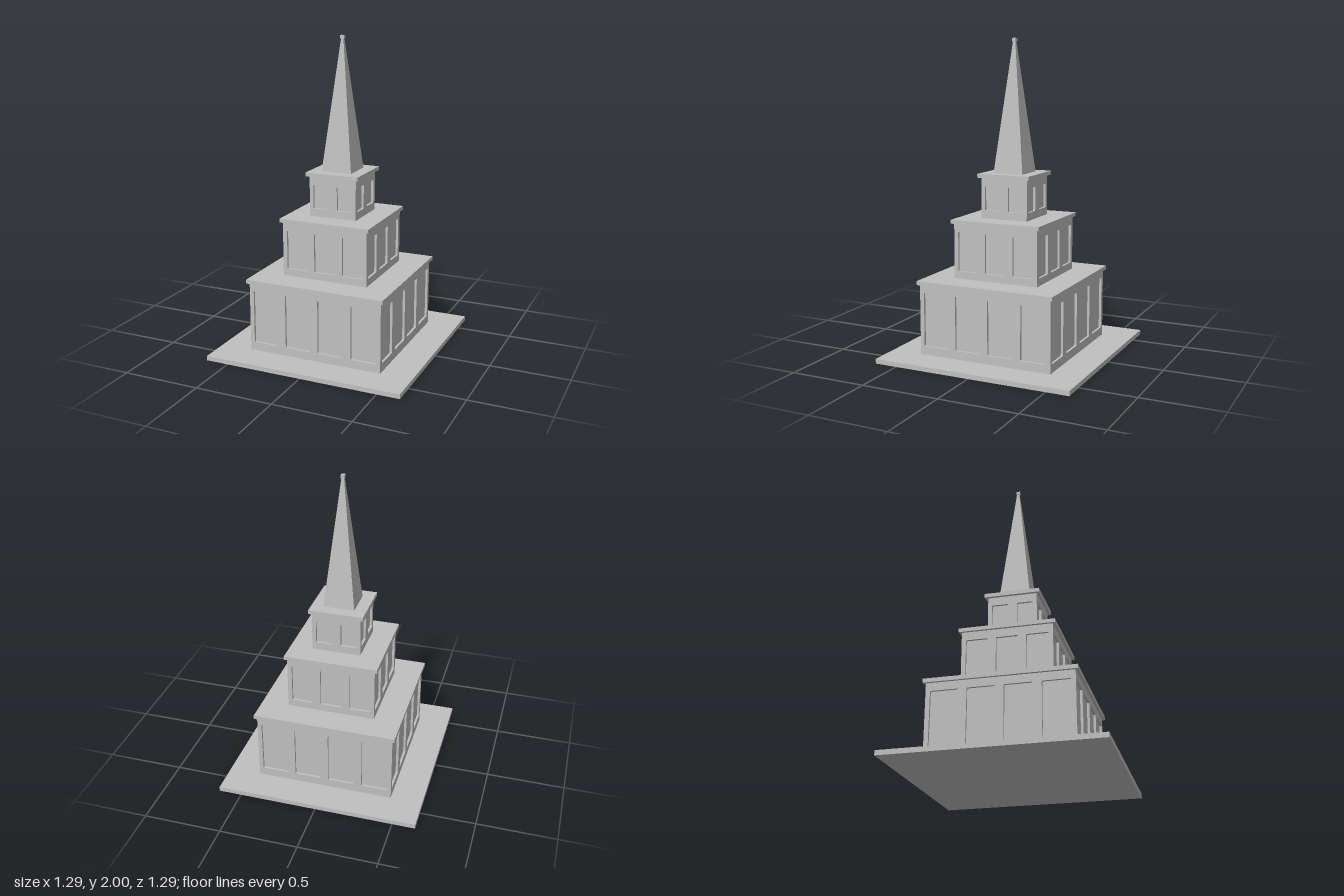
import * as THREE from 'three';

export function createModel() {
  const model = new THREE.Group();
  model.name = 'steppedTower';
  const stone = new THREE.MeshStandardMaterial({ name: 'paleGrey', color: 0xc0c0c0, flatShading: true });
  const RECESS = 0.015;

  function add(parent, name, geometry) {
    const mesh = new THREE.Mesh(geometry, stone);
    mesh.name = name;
    parent.add(mesh);
    return mesh;
  }

  // Square block given by half width and height range
  function block(parent, name, half, y0, y1) {
    add(parent, name, new THREE.BoxGeometry(half * 2, y1 - y0, half * 2)).position.y = (y0 + y1) / 2;
  }

  // Window opening with slightly eased corners
  function opening(cx, w, y0, y1, r = 0.006) {
    const l = cx - w / 2, t = cx + w / 2;
    const p = new THREE.Path();
    p.moveTo(l + r, y0);
    p.lineTo(t - r, y0).quadraticCurveTo(t, y0, t, y0 + r);
    p.lineTo(t, y1 - r).quadraticCurveTo(t, y1, t - r, y1);
    p.lineTo(l + r, y1).quadraticCurveTo(l, y1, l, y1 - r);
    p.lineTo(l, y0 + r).quadraticCurveTo(l, y0, l + r, y0);
    return p;
  }

  // Pierced wall skin, extruded inwards from the outer face
  function wallGeometry(half, tier) {
    const shape = new THREE.Shape([
      new THREE.Vector2(-half, tier.y0), new THREE.Vector2(half, tier.y0),
      new THREE.Vector2(half, tier.y1), new THREE.Vector2(-half, tier.y1),
    ]);
    for (let i = 0; i < tier.count; i++) {
      const cx = (i - (tier.count - 1) / 2) * tier.pitch;
      shape.holes.push(opening(cx, tier.winW, tier.win0, tier.win1));
    }
    const geometry = new THREE.ExtrudeGeometry(shape, { depth: RECESS, bevelEnabled: false, curveSegments: 3 });
    return geometry.translate(0, 0, tier.half - RECESS);
  }

  const tiers = [
    { name: 'lowerTier', half: 0.443, y0: 0.03, y1: 0.478, slab: 0.459, top: 0.503,
      count: 4, pitch: 0.221, winW: 0.168, win0: 0.085, win1: 0.428 },
    { name: 'middleTier', half: 0.284, y0: 0.503, y1: 0.853, slab: 0.3, top: 0.877,
      count: 3, pitch: 0.188, winW: 0.136, win0: 0.55, win1: 0.8 },
    { name: 'upperTier', half: 0.157, y0: 0.877, y1: 1.134, slab: 0.176, top: 1.159,
      count: 2, pitch: 0.16, winW: 0.102, win0: 0.927, win1: 1.08 },
  ];

  block(model, 'basePlate', 0.647, 0, 0.03);

  // Each tier: inner core, four pierced walls and a roof slab
  for (const tier of tiers) {
    const group = new THREE.Group();
    group.name = tier.name;
    model.add(group);
    block(group, 'windowPanels', tier.half - RECESS, tier.y0, tier.y1);
    const faces = [wallGeometry(tier.half, tier), wallGeometry(tier.half - RECESS, tier)];
    ['frontWall', 'leftWall', 'backWall', 'rightWall'].forEach((name, i) => {
      add(group, name, faces[i % 2]).rotation.y = i * Math.PI / 2;
    });
    block(group, 'roofSlab', tier.slab, tier.y1, tier.top);
  }

  // Tapered square spire with a small cap
  const spire = new THREE.CylinderGeometry(0.008 * Math.SQRT2, 0.1 * Math.SQRT2, 0.821, 4, 1);
  spire.rotateY(Math.PI / 4);
  add(model, 'spire', spire).position.y = 1.159 + 0.821 / 2;
  block(model, 'spireCap', 0.012, 1.978, 2);

  return model;
}
